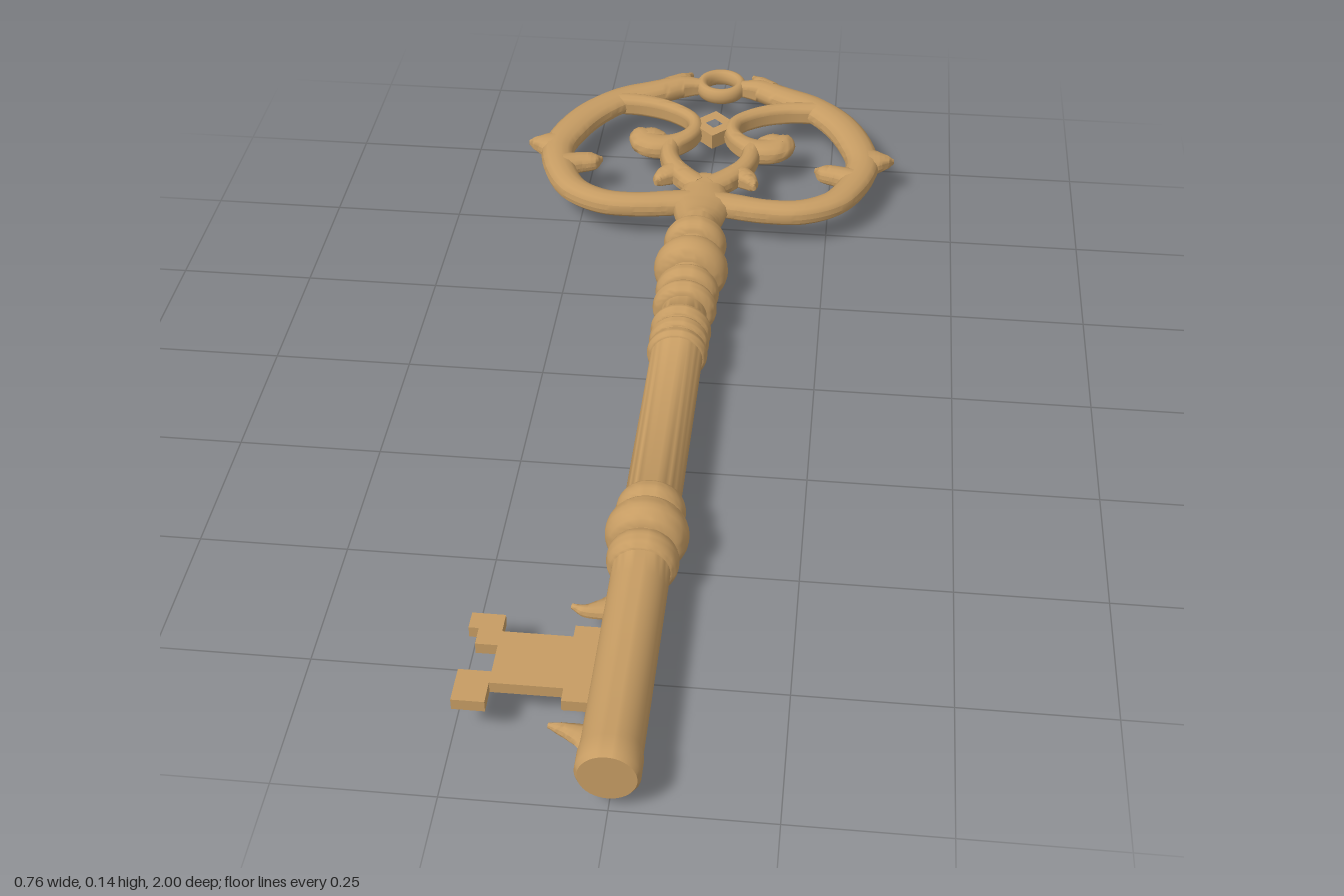
import * as THREE from 'three';
import { toCreasedNormals } from 'three/addons/utils/BufferGeometryUtils.js';

const AXIS_Y = 0.072; // height of the key's long axis
const H = 0.023; // half thickness of the bow

// Sweep an ellipse along a flat path; each point is [x, z, halfWidth, halfHeight]
function sweep(points, rings = 40, sides = 14) {
  const path = new THREE.CatmullRomCurve3(points.map(([x, z]) => new THREE.Vector3(x, 0, z)), false, 'centripetal');
  const size = new THREE.CatmullRomCurve3(points.map(([, , w, h = H]) => new THREE.Vector3(w, h, 0)), false, 'catmullrom', 0.3);
  const pos = [], idx = [];
  for (let i = 0; i <= rings; i++) {
    const p = path.getPoint(i / rings), t = path.getTangent(i / rings), s = size.getPoint(i / rings);
    for (let j = 0; j < sides; j++) {
      const a = (j / sides) * Math.PI * 2, w = Math.cos(a) * s.x;
      pos.push(p.x + t.z * w, Math.sin(a) * s.y, p.z - t.x * w);
    }
  }
  for (let i = 0; i < rings; i++) {
    for (let j = 0; j < sides; j++) {
      const k = (j + 1) % sides, a = i * sides + j, b = i * sides + k;
      idx.push(a, b, a + sides, b, b + sides, a + sides);
    }
  }
  // end caps
  const last = rings * sides;
  for (let j = 1; j < sides - 1; j++) idx.push(0, j + 1, j, last, last + j, last + j + 1);
  const geo = new THREE.BufferGeometry();
  geo.setAttribute('position', new THREE.Float32BufferAttribute(pos, 3));
  geo.setIndex(idx);
  return toCreasedNormals(geo, 1.0);
}

// Flat plate outlined by [x, z] points, centred on the axis height
function plate(outline, thickness, hole) {
  const toVectors = (list) => list.map(([x, z]) => new THREE.Vector2(x, -z));
  const shape = new THREE.Shape(toVectors(outline));
  if (hole) shape.holes.push(new THREE.Path(toVectors(hole)));
  const geo = new THREE.ExtrudeGeometry(shape, { depth: thickness, bevelEnabled: false });
  return geo.translate(0, 0, -thickness / 2).rotateX(-Math.PI / 2);
}

// Turned shaft: plain rod with rounded rings [z, halfLength, radius]
function shaftGeometry() {
  const R = 0.047;
  const beads = [
    [-0.34, 0.026, 0.061], [-0.255, 0.036, 0.071], [-0.18, 0.022, 0.06], [-0.13, 0.02, 0.06],
    [-0.06, 0.015, 0.056], [-0.025, 0.014, 0.055], [0.008, 0.014, 0.055],
    [0.435, 0.022, 0.058], [0.49, 0.034, 0.069], [0.552, 0.024, 0.059],
  ];
  const profile = [[0, -0.4], [0.04, -0.4], [0.042, -0.37]];
  for (const [z, half, r] of beads) {
    for (let i = 0; i <= 10; i++) {
      const a = Math.PI * (1 - i / 10);
      const base = z < -0.1 ? 0.043 : R;
      profile.push([base + (r - base) * Math.sin(a), z + half * Math.cos(a)]);
    }
  }
  profile.push([R, 0.62], [R, 0.95], [0.049, 0.96], [0.049, 0.992], [0.044, 1], [0, 1]);
  const geo = new THREE.LatheGeometry(profile.map(([r, z]) => new THREE.Vector2(r, z)), 40);
  return toCreasedNormals(geo.rotateX(Math.PI / 2), 0.9);
}

export function createModel() {
  const key = new THREE.Group();
  key.name = 'ornateKey';
  const brass = new THREE.MeshStandardMaterial({ color: 0xc69c63 });
  brass.name = 'agedBrass';
  const add = (name, geo, parent = key) => {
    const mesh = new THREE.Mesh(geo, brass);
    mesh.name = name;
    parent.add(mesh);
    return mesh;
  };
  key.position.y = AXIS_Y;

  add('shaft', shaftGeometry());

  // Bow, mirrored about the long axis
  const bow = new THREE.Group();
  bow.name = 'bow';
  key.add(bow);
  const halves = {
    outerBand: [[0.045, -0.94, 0.018, 0.018], [0.085, -0.935, 0.026], [0.14, -0.905, 0.032], [0.205, -0.868, 0.036],
      [0.262, -0.805, 0.038], [0.3, -0.725, 0.037], [0.315, -0.655, 0.034], [0.3, -0.58, 0.032],
      [0.262, -0.51, 0.03], [0.2, -0.472, 0.028], [0.13, -0.467, 0.027], [0.065, -0.478, 0.03], [0.0, -0.49, 0.03]],
    sidePoint: [[0.31, -0.67, 0.055], [0.342, -0.672, 0.033, 0.02], [0.365, -0.675, 0.017, 0.014], [0.379, -0.677, 0.004, 0.006]],
    topPoint: [[0.11, -0.93, 0.025], [0.085, -0.96, 0.02, 0.018], [0.068, -0.988, 0.005, 0.007]],
    innerLeaf: [[0.305, -0.595, 0.03], [0.265, -0.61, 0.024, 0.02], [0.238, -0.618, 0.022, 0.017], [0.22, -0.628, 0.005, 0.006]],
    heartArch: [[0.215, -0.855, 0.025], [0.15, -0.848, 0.022], [0.09, -0.825, 0.019], [0.045, -0.785, 0.017],
      [0.04, -0.745, 0.018], [0.06, -0.71, 0.022], [0.095, -0.688, 0.03], [0.13, -0.695, 0.034],
      [0.15, -0.72, 0.026], [0.156, -0.745, 0.008, 0.01]],
    scrollTip: [[0.15, -0.705, 0.026], [0.125, -0.712, 0.034], [0.1, -0.715, 0.02, 0.016], [0.09, -0.718, 0.006, 0.006]],
    lowerArm: [[0.085, -0.69, 0.02], [0.083, -0.65, 0.02], [0.072, -0.615, 0.022], [0.045, -0.575, 0.026], [0.01, -0.54, 0.028]],
    lowerLeaf: [[0.055, -0.6, 0.028], [0.08, -0.58, 0.024, 0.019], [0.095, -0.56, 0.014, 0.014], [0.1, -0.548, 0.004, 0.006]],
  };
  for (const [name, points] of Object.entries(halves)) {
    for (const side of [1, -1]) {
      const rings = name === 'outerBand' ? 90 : 32;
      add((side > 0 ? 'left ' : 'right ') + name, sweep(points.map(([x, z, w, h]) => [side * x, z, w, h]), rings), bow);
    }
  }
  // Neck flattening from the round shaft into the bow
  add('neck', sweep([[0, -0.36, 0.044, 0.044], [0, -0.4, 0.042, 0.038], [0, -0.44, 0.052, 0.031],
    [0, -0.48, 0.06, 0.026], [0, -0.53, 0.045, H], [0, -0.565, 0.04, 0.02], [0, -0.582, 0.01, 0.01]]), bow);
  // Hanging ring and small pierced diamond
  add('hangingRing', new THREE.TorusGeometry(0.042, 0.0125, 12, 36).scale(1, 1, 1.4).rotateX(Math.PI / 2).translate(0, 0, -0.945), bow);
  const diamond = (r) => [[0, -0.765 - r], [r, -0.765], [0, -0.765 + r], [-r, -0.765]];
  add('diamond', plate(diamond(0.05), 0.032, diamond(0.018)), bow);

  // Bit: flat stepped plate on the right side
  const bit = new THREE.Group();
  bit.name = 'bit';
  key.add(bit);
  add('bitPlate', plate([
    [-0.03, 0.715], [-0.085, 0.715], [-0.085, 0.738], [-0.195, 0.738], [-0.195, 0.703], [-0.248, 0.703],
    [-0.248, 0.735], [-0.232, 0.735], [-0.232, 0.768], [-0.197, 0.768], [-0.197, 0.822], [-0.248, 0.822],
    [-0.248, 0.884], [-0.197, 0.884], [-0.197, 0.845], [-0.085, 0.845], [-0.085, 0.87], [-0.03, 0.87],
  ], 0.02), bit);
  // Curved spurs either side of the plate
  add('rearSpur', sweep([[-0.03, 0.66, 0.03, 0.012], [-0.055, 0.668, 0.018, 0.011], [-0.075, 0.672, 0.011, 0.01], [-0.098, 0.664, 0.004, 0.005]], 16, 10), bit);
  add('frontSpur', sweep([[-0.03, 0.93, 0.03, 0.012], [-0.055, 0.922, 0.018, 0.011], [-0.075, 0.916, 0.011, 0.01], [-0.098, 0.91, 0.004, 0.005]], 16, 10), bit);

  const model = new THREE.Group();
  model.name = 'key';
  model.add(key);
  return model;
}
